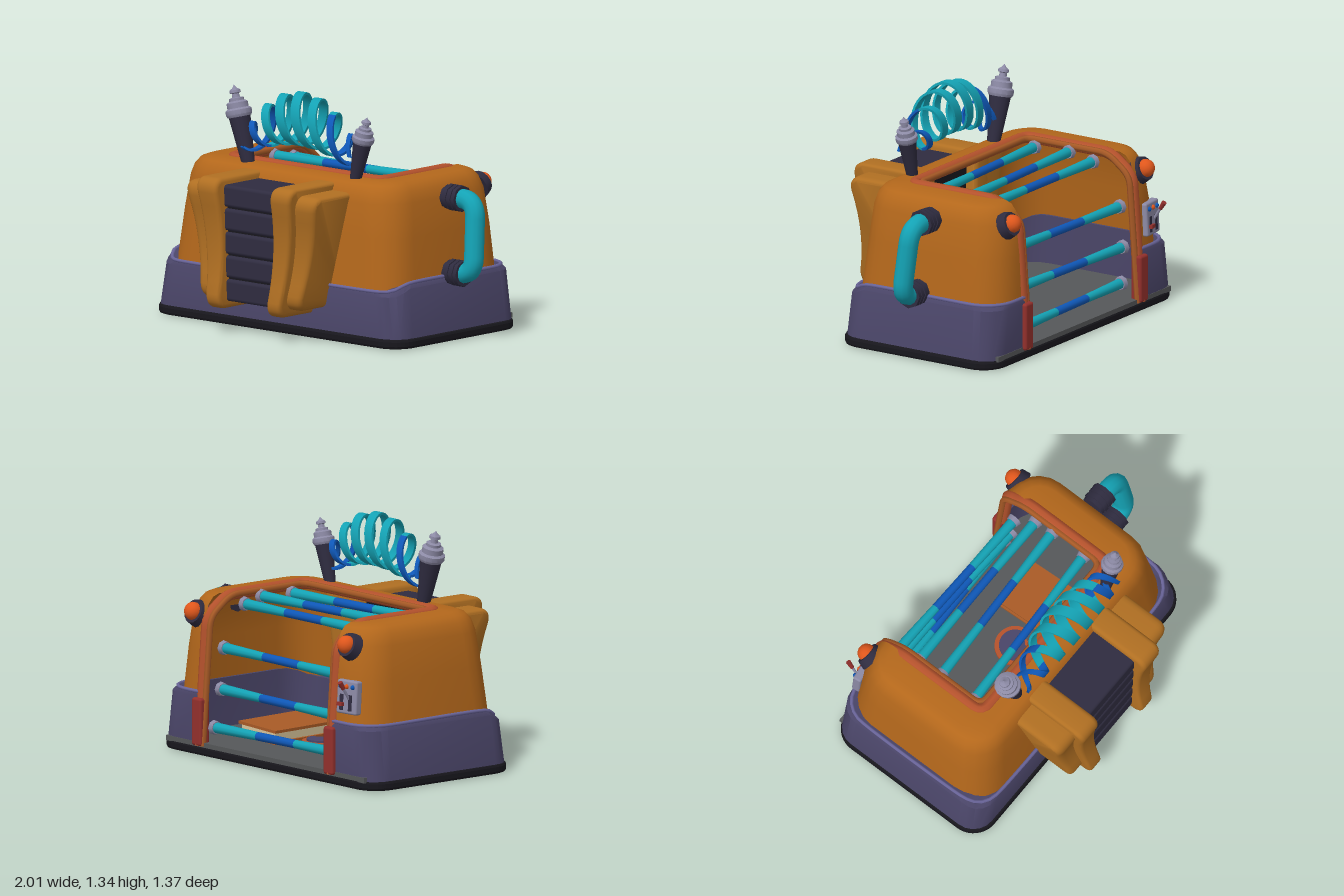
import * as THREE from 'three';
import { toCreasedNormals } from 'three/addons/utils/BufferGeometryUtils.js';
import { RoundedBoxGeometry } from 'three/addons/geometries/RoundedBoxGeometry.js';

const mat = (color, side = THREE.FrontSide) => new THREE.MeshStandardMaterial({ color, side });
const M = {
  orange: mat(0xb3671b, THREE.DoubleSide), bumper: mat(0xb06f22), purple: mat(0x4a4568, THREE.DoubleSide),
  trim: mat(0x6a659a), dark: mat(0x2f2c40), black: mat(0x18171d), rim: mat(0xb5522c), red: mat(0x93302c),
  teal: mat(0x14a3b5), blue: mat(0x0f58b8), grey: mat(0x8c8aa5), floor: mat(0x555759),
  lamp: mat(0xe0571c), cream: mat(0xd8c49a), cover: mat(0xa85a26),
};
const V = (x, y, z) => new THREE.Vector3(x, y, z);
const UP = V(0, 1, 0);
const OPEN_L = -0.63, OPEN_R = 0.5, OPEN_Z = 0.15;

export function createModel() {
  const model = new THREE.Group();

  function add(name, geo, material, pos = [0, 0, 0], parent = model) {
    const m = new THREE.Mesh(geo, material);
    m.name = name;
    m.position.set(...pos);
    parent.add(m);
    return m;
  }
  // Cylinder between two points
  function rod(name, a, b, ra, rb, material, sides = 10) {
    const m = add(name, new THREE.CylinderGeometry(rb, ra, a.distanceTo(b), sides), material);
    m.position.copy(a).add(b).multiplyScalar(0.5);
    m.quaternion.setFromUnitVectors(UP, b.clone().sub(a).normalize());
    return m;
  }
  // Polyline with rounded corners
  function roundedPath(pts, r) {
    const path = new THREE.CurvePath();
    let last = pts[0];
    for (let i = 1; i < pts.length - 1; i++) {
      const p = pts[i];
      const a = p.clone().add(pts[i - 1].clone().sub(p).setLength(r));
      const b = p.clone().add(pts[i + 1].clone().sub(p).setLength(r));
      path.add(new THREE.LineCurve3(last, a));
      path.add(new THREE.QuadraticBezierCurve3(a, p, b));
      last = b;
    }
    path.add(new THREE.LineCurve3(last, pts[pts.length - 1]));
    return path;
  }
  // Skin between rings of equal length
  function loft(rings, closed = false) {
    const n = rings[0].length, idx = [];
    for (let j = 0; j < rings.length - 1; j++)
      for (let i = 0; i < (closed ? n : n - 1); i++) {
        const k = (i + 1) % n, a = j * n + i, b = j * n + k;
        idx.push(a, a + n, b, b, a + n, b + n);
      }
    const g = new THREE.BufferGeometry();
    g.setAttribute('position', new THREE.Float32BufferAttribute(rings.flat().flatMap(p => p.toArray()), 3));
    g.setIndex(idx);
    return toCreasedNormals(g, 0.65);
  }
  // Plan outline that runs round the housing and stays open at the back
  function plan([y, x0, x1, zf, zb, r], dip = 0) {
    const pts = [V(OPEN_R, y, zb)];
    const corners = [[x1 - r, zb + r], [x1 - r, zf - r], [x0 + r, zf - r], [x0 + r, zb + r]];
    corners.forEach(([cx, cz], c) => {
      for (let s = 0; s <= 5; s++) {
        const a = (c - 1 + s / 5) * Math.PI / 2;
        pts.push(V(cx + r * Math.cos(a), y, cz + r * Math.sin(a)));
      }
    });
    pts.push(V(OPEN_L, y, zb));
    if (y > 0.3) pts.forEach(p => { p.y -= dip * THREE.MathUtils.smoothstep(p.z, 0.24, 0.36); });
    return pts;
  }

  // Base plate and floor
  const foot = new THREE.Shape();
  const fx = 0.915, fz = 0.505, fr = 0.13;
  [[1, -1, -90], [1, 1, 0], [-1, 1, 90], [-1, -1, 180]].forEach(([sx, sz, d]) => {
    const a = d * Math.PI / 180;
    foot.absarc(sx * (fx - fr), sz * (fz - fr), fr, a, a + Math.PI / 2, false);
  });
  const plate = new THREE.ExtrudeGeometry(foot, { depth: 0.025, bevelSize: 0.017, bevelThickness: 0.015, bevelSegments: 2, curveSegments: 5 });
  plate.rotateX(-Math.PI / 2);
  add('basePlate', plate, M.black, [-0.068, 0.02, -0.107]);
  add('floor', new THREE.BoxGeometry(1.7, 0.03, 0.99), M.floor, [-0.07, 0.065, -0.13]);

  // Lower skirt with its ledge and inner wall
  const skirtRings = [
    [0.05, -0.99, 0.85, 0.402, -0.622, 0.13], [0.335, -0.955, 0.815, 0.397, -0.622, 0.14],
    [0.36, -0.935, 0.795, 0.385, -0.612, 0.16], [0.355, -0.905, 0.765, 0.36, -0.59, 0.19],
    [0.05, -0.905, 0.765, 0.36, -0.59, 0.19]].map(r => plan(r, 0.045));
  add('skirt', loft(skirtRings), M.purple);
  const edge = new THREE.CatmullRomCurve3(skirtRings[2]);
  add('skirtTrim', new THREE.TubeGeometry(edge, 90, 0.011, 6), M.trim);

  // Housing, with the roof drawn in to the opening
  const bodyRings = [
    [0.27, -0.925, 0.785, 0.385, -0.61, 0.2], [0.6, -0.89, 0.75, 0.355, -0.592, 0.2],
    [0.79, -0.862, 0.727, 0.337, -0.572, 0.2], [0.85, -0.84, 0.705, 0.32, -0.55, 0.19],
    [0.885, -0.81, 0.675, 0.29, -0.52, 0.165], [0.9, -0.77, 0.64, 0.25, -0.48, 0.135]].map(r => plan(r));
  bodyRings.push(bodyRings[5].map(p => V(THREE.MathUtils.clamp(p.x, OPEN_L, OPEN_R), 0.9, Math.min(p.z, OPEN_Z))));
  add('housing', loft(bodyRings), M.orange);

  // Frame round the opening: a broad outer bar and a thin inner bead
  const frame = (inset, lift) => {
    const l = OPEN_L + inset, r = OPEN_R - inset, y = 0.885 + lift, z = OPEN_Z - inset;
    const side = x => [V(x, 0.06, -0.615 - lift), V(x, 0.78, -0.56 - lift), V(x, y, -0.42), V(x, y, z)];
    return roundedPath([...side(l), ...side(r).reverse()], 0.06);
  };
  add('openingFrame', new THREE.TubeGeometry(frame(0, 0), 160, 0.033, 8), M.rim);
  add('openingBead', new THREE.TubeGeometry(frame(0.032, 0.006), 160, 0.018, 6), M.cover);
  for (const x of [OPEN_L, OPEN_R])
    add('framePost', new RoundedBoxGeometry(0.08, 0.27, 0.07, 2, 0.015), M.red, [x, 0.195, -0.612]);

  // Heating bars: [y, z at left, z at right]
  [[0.85, 0.06, 0.01], [0.86, -0.17, -0.21], [0.83, -0.33, -0.33], [0.6, -0.51, -0.48], [0.37, -0.53, -0.5], [0.16, -0.52, -0.55]]
    .forEach(([y, zl, zr]) => {
      const a = V(-0.59, y, zl), b = V(0.46, y, zr);
      const at = t => a.clone().lerp(b, t);
      rod('barCollar', at(0), at(0.025), 0.042, 0.036, M.grey, 8);
      rod('barCollar', at(0.975), at(1), 0.036, 0.042, M.grey, 8);
      rod('barEnd', at(0.02), at(0.35), 0.03, 0.024, M.teal);
      rod('barMiddle', at(0.35), at(0.65), 0.024, 0.024, M.blue);
      rod('barEnd', at(0.65), at(0.98), 0.024, 0.03, M.teal);
    });

  // Book and bitten biscuit on the floor
  const book = new THREE.Group();
  book.name = 'book';
  book.position.set(0.31, 0.13, -0.145);
  book.rotation.set(0, 0.05, 0.06);
  model.add(book);
  add('pages', new THREE.BoxGeometry(0.27, 0.05, 0.43), M.cream, [0, 0, 0], book);
  for (const y of [-0.032, 0.032]) add('cover', new THREE.BoxGeometry(0.3, 0.016, 0.46), M.cover, [0, y, 0], book);
  const bitten = r => {
    const s = new THREE.Shape();
    s.absarc(0, 0, r, -0.1, -1.1, false);
    s.quadraticCurveTo(r * 0.2, -r * 0.5, r * 0.55, -r * 0.35);
    s.quadraticCurveTo(r * 0.6, 0, r * Math.cos(0.1), -r * Math.sin(0.1));
    return new THREE.ExtrudeGeometry(s, { depth: 0.02, bevelEnabled: false, curveSegments: 20 }).rotateX(-Math.PI / 2);
  };
  add('biscuit', bitten(0.115), M.rim, [0.02, 0.08, -0.13]);
  add('biscuitTop', bitten(0.09), M.purple, [0.02, 0.09, -0.13]);

  // Front grille: concave bumpers, mirrored, with dark slats between
  const grille = new THREE.Group();
  grille.name = 'frontGrille';
  grille.position.x = -0.055;
  model.add(grille);
  function bumper(y0, y1, front, waist, inner, outer) {
    const s = new THREE.Shape(), e = 0.025, f = front - e;
    s.moveTo(0.25, y0 + e);
    s.lineTo(f - 0.04, y0 + e);
    s.quadraticCurveTo(f + 0.005, y0 + e, f, y0 + 0.08);
    s.quadraticCurveTo(f - waist * 2, (y0 + y1) / 2, f, y1 - 0.08);
    s.quadraticCurveTo(f + 0.005, y1 - e, f - 0.04, y1 - e);
    s.lineTo(0.25, y1 - e);
    const g = new THREE.ExtrudeGeometry(s, { depth: 0.1, bevelSize: e, bevelThickness: 0.03, bevelSegments: 4, curveSegments: 8 });
    g.translate(0, 0, 0.03).rotateY(-Math.PI / 2);
    const p = g.attributes.position;
    for (let i = 0; i < p.count; i++) {
      const t = (p.getY(i) - y0) / (y1 - y0), u = -p.getX(i) / 0.16;
      const a = THREE.MathUtils.lerp(inner[0], inner[1], t), b = THREE.MathUtils.lerp(outer[0], outer[1], t);
      p.setXYZ(i, -(a + u * (b - a)), p.getY(i), p.getZ(i));
    }
    return toCreasedNormals(g, 0.7);
  }
  const lobes = [['innerBumper', bumper(0.145, 0.875, 0.682, 0.035, [0.175, 0.2], [0.27, 0.355])],
    ['outerBumper', bumper(0.185, 0.835, 0.622, 0.03, [0.2, 0.22], [0.365, 0.49])]];
  for (const sx of [1, -1])
    for (const [name, g] of lobes) add(name, g, M.bumper, [0, 0, 0], grille).scale.x = sx;
  add('grilleCore', new THREE.BoxGeometry(0.42, 0.63, 0.3), M.black, [0, 0.51, 0.44], grille);
  for (let i = 0; i < 5; i++)
    add('slat', new RoundedBoxGeometry(0.44, 0.124, 0.32, 2, 0.02), M.dark, [0, 0.246 + i * 0.132, 0.452], grille);

  // Side handle with eight-sided mounts
  const grip = [V(0.76, 0.79, -0.145), V(0.94, 0.79, -0.145), V(0.965, 0.38, -0.1), V(0.79, 0.38, -0.1)];
  add('handle', new THREE.TubeGeometry(roundedPath(grip, 0.1), 48, 0.056, 12), M.teal);
  for (const [x, y, z] of [[0.73, 0.79, -0.145], [0.785, 0.38, -0.1]]) {
    rod('handleMount', V(x, y, z), V(x + 0.1, y, z), 0.068, 0.068, M.dark, 8);
    for (const d of [0.035, 0.07, 0.1])
      rod('handleMountRing', V(x + d - 0.012, y, z), V(x + d + 0.012, y, z), 0.075, 0.075, M.dark, 8);
  }

  // Electrodes
  const capProfile = [[0, 0.27], [0.066, 0.27], [0.074, 0.285], [0.074, 0.31], [0.06, 0.32], [0.06, 0.35], [0.042, 0.36],
    [0.042, 0.375], [0.022, 0.38], [0.02, 0.4], [0.032, 0.405], [0.03, 0.42], [0.014, 0.43], [0, 0.45]]
    .map(p => new THREE.Vector2(...p));
  const capGeo = toCreasedNormals(new THREE.LatheGeometry(capProfile, 14), 0.6);
  for (const [x, lean, size] of [[-0.42, 0.25, 1], [0.375, -0.24, 0.85]]) {
    const e = new THREE.Group();
    e.name = 'electrode';
    e.position.set(x, 0.88, 0.225);
    e.rotation.z = lean;
    e.scale.setScalar(size);
    model.add(e);
    add('stem', new THREE.CylinderGeometry(0.062, 0.036, 0.28, 14), M.dark, [0, 0.14, 0], e);
    add('cap', capGeo, M.grey, [0, 0, 0], e);
  }

  // Twin spiral arc, a flat ribbon swelling toward the middle
  function ribbon(phase, from, to, steps) {
    const rings = [];
    for (let i = 0; i <= steps; i++) {
      const t = from + (to - from) * i / steps, h = 1 - t * t;
      const a = phase + t * Math.PI * 3.4, w = 0.012 + 0.02 * h;
      const pt = (dx, dr) => V(t * 0.4 + dx, 1.01 + 0.18 * h + (0.055 + 0.09 * h + dr) * Math.cos(a),
        0.25 + (0.05 + 0.06 * h + dr) * Math.sin(a));
      rings.push([pt(-w, -0.007), pt(w, -0.007), pt(w, 0.007), pt(-w, 0.007)]);
    }
    return loft(rings, true);
  }
  M.teal.side = M.blue.side = THREE.DoubleSide;
  for (const phase of [0, Math.PI]) {
    add('arcMiddle', ribbon(phase, -0.6, 0.6, 64), M.teal);
    add('arcEnd', ribbon(phase, -1, -0.6, 24), M.blue);
    add('arcEnd', ribbon(phase, 0.6, 1, 24), M.blue);
  }

  // Warning lamps on the back corners
  for (const x of [-0.725, 0.59]) {
    const lamp = new THREE.Group();
    lamp.name = 'lamp';
    lamp.position.set(x, 0.79, -0.565);
    lamp.rotation.x = -1.15;
    model.add(lamp);
    add('lampRing', new THREE.CylinderGeometry(0.068, 0.08, 0.05, 14), M.dark, [0, 0, 0], lamp);
    add('bulb', new THREE.SphereGeometry(0.052, 14, 10), M.lamp, [0, 0.025, 0], lamp);
  }

  // Control panel with lever, slider and buttons
  const panel = new THREE.Group();
  panel.name = 'controlPanel';
  panel.position.set(-0.755, 0.51, -0.592);
  panel.rotation.set(0.06, 0.12, 0);
  model.add(panel);
  add('panelPlate', new RoundedBoxGeometry(0.15, 0.19, 0.05, 2, 0.012), M.grey, [0, 0, 0], panel);
  for (const x of [-0.03, 0.035]) add('slot', new THREE.BoxGeometry(0.025, 0.09, 0.01), M.dark, [x, -0.03, -0.023], panel);
  for (const x of [-0.045, 0, 0.045]) add('button', new THREE.SphereGeometry(0.014, 8, 6), x ? M.blue : M.lamp, [x, 0.06, -0.025], panel);
  add('slider', new THREE.BoxGeometry(0.04, 0.02, 0.03), M.red, [0.035, -0.04, -0.03], panel);
  rod('lever', V(-0.775, 0.5, -0.61), V(-0.775, 0.57, -0.655), 0.008, 0.008, M.grey, 8);
  rod('leverGrip', V(-0.775, 0.565, -0.652), V(-0.775, 0.605, -0.678), 0.012, 0.015, M.red, 8);
  return model;
}
